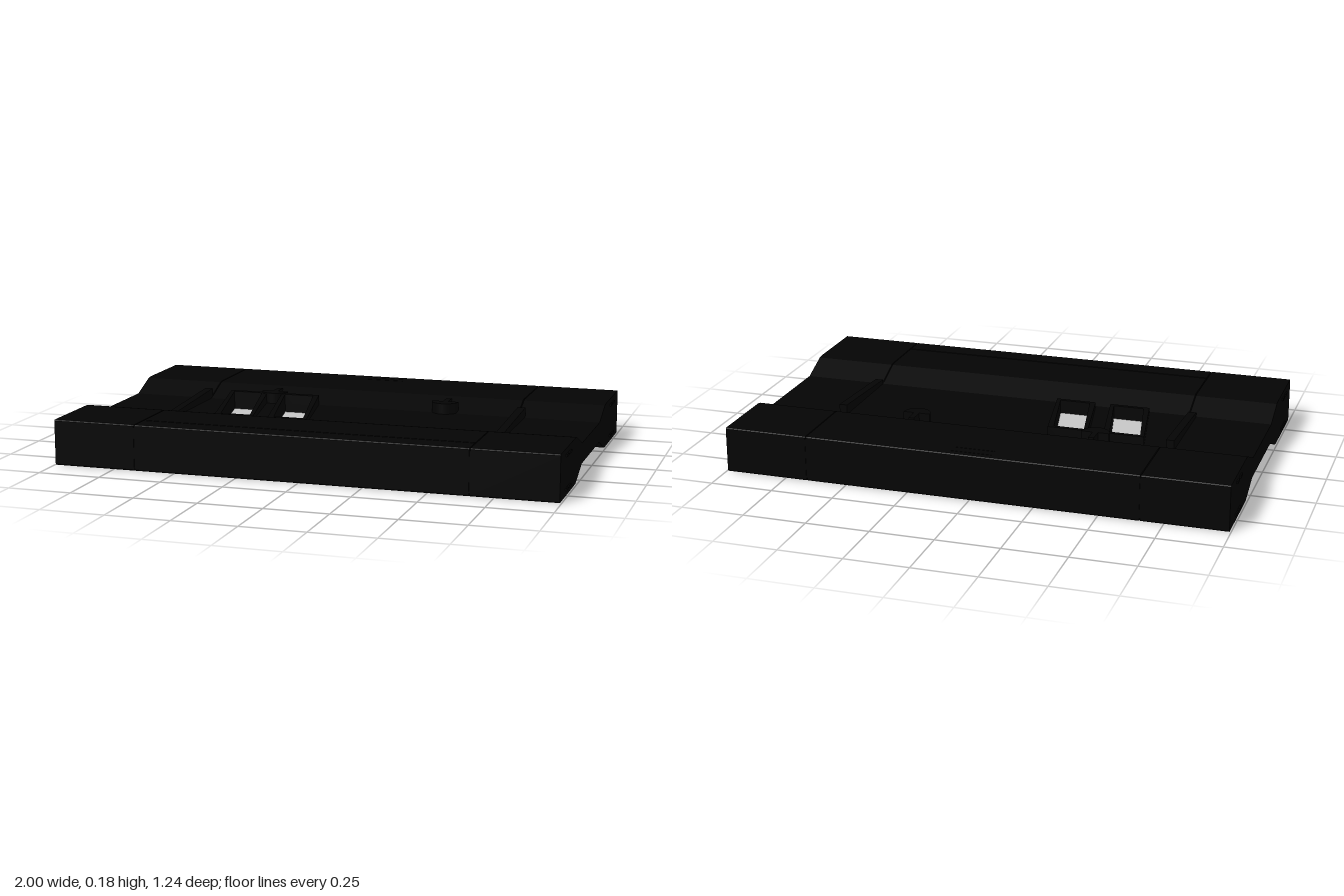
import * as THREE from 'three';

const MID = 0.102, H = 0.09, THIN = 0.04; // mid height, half thickness of blocks and of the waist

export function createModel() {
  const group = new THREE.Group();
  const black = new THREE.MeshStandardMaterial({ color: 0x040404 });
  black.name = 'black';
  const paleGrey = new THREE.MeshStandardMaterial({ color: 0xc9c9c9 });
  paleGrey.name = 'paleGrey';

  const add = (name, geo, mat = black) => {
    const mesh = new THREE.Mesh(geo, mat);
    mesh.name = name;
    group.add(mesh);
    return mesh;
  };
  const box = (name, x, y, z, w, h, d) =>
    add(name, new THREE.BoxGeometry(w, h, d)).position.set(x, y, z);

  // Profile of [z, half height], mirrored about mid height and extruded along x
  const block = (name, x0, x1, half) => {
    const pts = [...half.map(([z, h]) => [z, MID + h]),
      ...half.slice().reverse().map(([z, h]) => [z, MID - h])];
    const shape = new THREE.Shape(pts.map(([z, y]) => new THREE.Vector2(-z, y)));
    const geo = new THREE.ExtrudeGeometry(shape, { depth: x1 - x0, bevelEnabled: false });
    geo.rotateY(Math.PI / 2).translate(x0, 0, 0);
    return add(name, geo);
  };

  // Corner blocks with tapering inner ends, and the thin waists between them
  const taper = [[0.19, THIN], [0.305, H - 0.003], [0.322, H]];
  const end = [[0.614, H], [0.618, H - 0.004]];
  const flip = (p) => p.map(([z, h]) => [-z, h]).reverse();
  const full = [...taper, ...end];
  for (const [x0, x1, side] of [[-0.994, -0.662, 'right'], [0.662, 0.994, 'left']]) {
    block(side + 'FrontCorner', x0, x1, full);
    block(side + 'BackCorner', x0, x1, flip(full));
    block(side + 'Waist', x0, x1, [[-0.2, THIN], [0.2, THIN]]);
  }

  // Centre panels, separated from the corners by narrow seams over a lower core
  const core = [[0.185, THIN - 0.005], [0.32, H - 0.01], [0.616, H - 0.01]];
  block('backPanel', -0.658, 0.658, flip(full));
  block('frontPanel', -0.658, 0.658, [...taper, [0.523, H]]);
  block('frontLip', -0.658, 0.658, [[0.529, H], ...end]);
  block('frontSeamCore', -0.68, 0.68, core);
  block('backSeamCore', -0.68, 0.68, flip(core));

  // Flat plan shape with holes, extruded between -h and +h about mid height
  const vec = ([a, b]) => new THREE.Vector2(a, b);
  const slab = (outline, holes, h) => {
    const shape = new THREE.Shape(outline.map(vec));
    shape.holes = holes.map((p) => new THREE.Path(p.map(vec)));
    const geo = new THREE.ExtrudeGeometry(shape, { depth: 2 * h, bevelEnabled: false });
    return geo.rotateX(Math.PI / 2).translate(0, MID + h, 0);
  };

  // Sunken centre floor with two slanted slots right through it
  const slanted = (x, m) => [
    [x - m, -0.18 - m], [x + 0.122 + m, -0.18 - m], [x + 0.195 + m, 0.165 + m], [x + 0.072 - m, 0.165 + m],
  ];
  const slotX = [-0.55, -0.325];
  const slots = slotX.map((x) => slanted(x, 0));
  add('centreFloor', slab([[-0.662, -0.2], [0.662, -0.2], [0.662, 0.2], [-0.662, 0.2]], slots, THIN));

  // Wedge-shaped side rails, taller towards the back
  const wedge = (z) => 0.0575 + (0.19 - z) * 0.055;
  for (const s of [1, -1])
    block('sideRail', s * 0.674 - 0.016, s * 0.674 + 0.016, [[-0.205, wedge(-0.205)], [0.19, wedge(0.19)]]);

  // Raised frames around the slots, with a pale strip at mid height in each
  slotX.forEach((x, i) => {
    const frame = slab(slanted(x, 0.02), [slots[i]], 1);
    const pos = frame.attributes.position;
    for (let k = 0; k < pos.count; k++)
      pos.setY(k, MID + wedge(pos.getZ(k)) * (pos.getY(k) - MID));
    frame.computeVertexNormals();
    add('slotFrame', frame);
    add('slotStrip', slab(slots[i], [], 0.004), paleGrey);
  });

  // Latches on both faces: a fin with a half-round foot
  for (const x of [-0.38, 0.355])
    for (const s of [1, -1]) {
      box('latchFin', x, MID + s * 0.06, -0.225, 0.022, 0.046, 0.105);
      const foot = new THREE.CylinderGeometry(0.055, 0.055, 0.046, 20, 1, false, -Math.PI / 2, Math.PI);
      add('latchFoot', foot).position.set(x, MID + s * 0.06, -0.215);
      box('latchBack', x, MID + s * 0.06, -0.2155, 0.11, 0.046, 0.003);
    }

  // Side studs near each corner
  for (const sx of [1, -1])
    for (const sy of [1, -1])
      for (const z of [-0.5, -0.445, 0.445, 0.5])
        box('sideStud', sx * 0.995, MID + sy * 0.064, z, 0.01, 0.01, 0.036);

  // Fine ridges on the back panel
  for (const z of [-0.585, -0.545])
    for (const s of [1, -1])
      box('backRidge', 0, MID + s * H, z, 0.16, 0.002, 0.006);

  return group;
}
